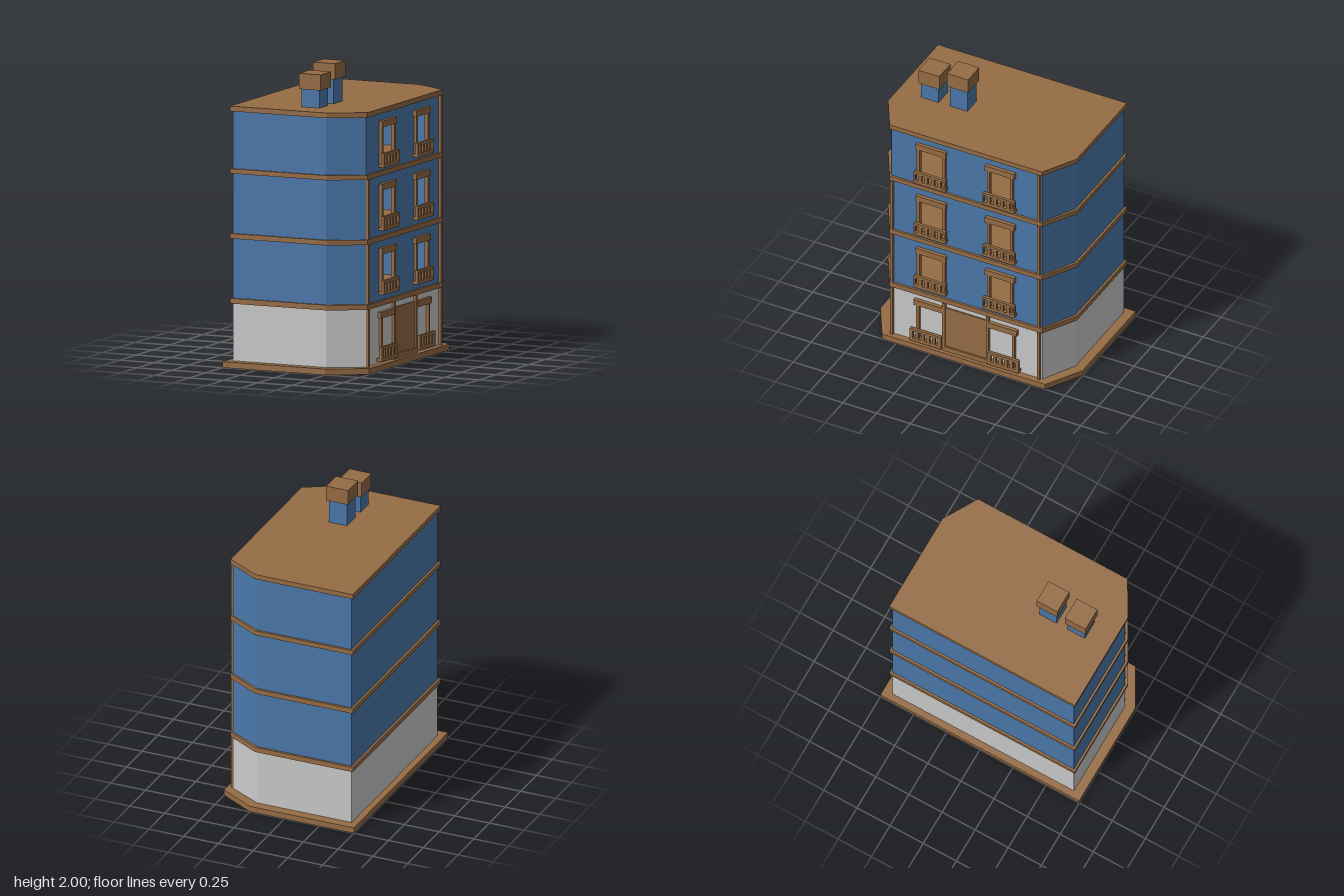
import * as THREE from 'three';

const brown = new THREE.MeshStandardMaterial({ name: 'brownTrim', color: 0x966c45 });
const blue = new THREE.MeshStandardMaterial({ name: 'bluePlaster', color: 0x4a78ab, side: THREE.DoubleSide });
const grey = new THREE.MeshStandardMaterial({ name: 'greyStone', color: 0xcacaca, side: THREE.DoubleSide });

function add(group, name, geometry, material) {
  const mesh = new THREE.Mesh(geometry, material);
  mesh.name = name;
  group.add(mesh);
  return mesh;
}

// Box given by its limits on each axis
function box(group, name, material, x0, x1, y0, y1, z0, z1) {
  const g = new THREE.BoxGeometry(x1 - x0, y1 - y0, z1 - z0);
  g.translate((x0 + x1) / 2, (y0 + y1) / 2, (z0 + z1) / 2);
  return add(group, name, g, material);
}

// Floor outline with the two cut corners on the +x side
const outline = (x, z, cx, cz) => [[x, cz], [cx, z], [-x, z], [-x, -z], [cx, -z], [x, -cz]];

function slab(group, name, pts, y0, y1) {
  const shape = new THREE.Shape(pts.map(p => new THREE.Vector2(p[0], p[1])));
  const g = new THREE.ExtrudeGeometry(shape, { depth: y1 - y0, bevelEnabled: false });
  g.rotateX(Math.PI / 2).translate(0, y1, 0);
  add(group, name, g, brown);
}

// Thin walls running along an open path
function walls(group, name, material, pts, y0, y1) {
  const pos = [];
  for (let i = 0; i + 1 < pts.length; i++) {
    const [ax, az] = pts[i], [bx, bz] = pts[i + 1];
    pos.push(ax, y0, az, bx, y1, bz, bx, y0, bz, ax, y0, az, ax, y1, az, bx, y1, bz);
  }
  const g = new THREE.BufferGeometry();
  g.setAttribute('position', new THREE.Float32BufferAttribute(pos, 3));
  g.computeVertexNormals();
  add(group, name, g, material);
}

const rect = (T, z0, z1, y0, y1) => new T([[-z1, y0], [-z0, y0], [-z0, y1], [-z1, y1]]
  .map(p => new THREE.Vector2(p[0], p[1])));

// Street wall with window openings, each [z0, z1, y0, y1]
function facade(group, material, y0, y1, openings) {
  const shape = rect(THREE.Shape, -0.56, 0.56, y0, y1);
  shape.holes = openings.map(o => rect(THREE.Path, ...o));
  const g = new THREE.ShapeGeometry(shape).rotateY(Math.PI / 2).translate(0.455, 0, 0);
  add(group, 'streetWall', g, material);
}

// Balustrade panel with a row of five slots
function balcony(group, z0, z1, y0, y1, pitch, width) {
  const shape = rect(THREE.Shape, z0, z1, y0, y1);
  for (let i = -2; i <= 2; i++) {
    const c = (z0 + z1) / 2 + i * pitch;
    shape.holes.push(rect(THREE.Path, c - width / 2, c + width / 2, y0 + 0.023, y1 - 0.019));
  }
  const g = new THREE.ExtrudeGeometry(shape, { depth: 0.02, bevelEnabled: false });
  add(group, 'balcony', g.rotateY(Math.PI / 2).translate(0.475, 0, 0), brown);
  // ends and floor joining the panel to the wall
  box(group, 'balconyFloor', brown, 0.455, 0.475, y0, y0 + 0.02, z0, z1);
}

export function createModel() {
  const model = new THREE.Group();
  model.name = 'townhouse';
  const wallPath = outline(0.455, 0.685, 0.225, 0.56);
  const slabPath = outline(0.47, 0.70, 0.235, 0.565);
  const levels = [[0, 0.04], [0.421, 0.456], [0.852, 0.886], [1.284, 1.316], [1.697, 1.731]];

  levels.forEach(([y0, y1], i) => slab(model, i === 0 ? 'base' : i === 4 ? 'roof' : 'floorBand',
    i ? slabPath : outline(0.5, 0.75, 0.25, 0.605), y0, y1));

  for (let f = 0; f < 4; f++) {
    const storey = new THREE.Group();
    storey.name = 'storey' + (f + 1);
    model.add(storey);
    const y0 = levels[f][1], y1 = levels[f + 1][0];
    const paint = f ? blue : grey;
    walls(storey, 'outerWalls', paint, wallPath, y0, y1);

    // Corner pilasters
    if (f < 3) box(storey, 'pilaster', brown, 0.45, 0.475, y0, y1, 0.54, 0.56);
    box(storey, 'pilaster', brown, 0.45, 0.475, y0, y1, -0.55, -0.53);

    if (f === 0) {
      facade(storey, paint, y0, y1, []);
      // Doorway with posts and threshold
      box(storey, 'door', brown, 0.45, 0.464, y0, 0.382, -0.16, 0.16);
      box(storey, 'threshold', brown, 0.45, 0.475, y0, 0.074, -0.17, 0.17);
      for (const s of [1, -1]) {
        const side = (name, x1, a, b, c, d) =>
          box(storey, name, brown, 0.45, x1, a, b, Math.min(s * c, s * d), Math.max(s * c, s * d));
        side('doorPost', 0.475, y0, y1, 0.152, 0.172);
        side('windowLintel', 0.48, 0.34, 0.382, 0.172, 0.383);
        side('windowJamb', 0.475, 0.06, 0.34, 0.344, 0.365);
        balcony(storey, s > 0 ? 0.172 : -0.403, s > 0 ? 0.403 : -0.172, 0.056, 0.154, 0.041, 0.021);
      }
    } else {
      const base = [0, 0.496, 0.922, 1.34][f];
      const windows = [[0.172, 0.34], [-0.33, -0.18]];
      facade(storey, paint, y0, y1, windows.map(([a, b]) => [a, b, base + 0.01, base + 0.266]));
      for (const [a, b] of windows) {
        const mid = (a + b) / 2;
        box(storey, 'windowLintel', brown, 0.45, 0.48, base + 0.266, base + 0.307, mid - 0.11, mid + 0.11);
        box(storey, 'windowJamb', brown, 0.45, 0.475, base + 0.01, base + 0.266, a - 0.021, a);
        box(storey, 'windowJamb', brown, 0.45, 0.475, base + 0.01, base + 0.266, b, b + 0.021);
        balcony(storey, mid - 0.118, mid + 0.118, base, base + 0.094, 0.048, 0.025);
      }
    }
  }

  // Chimneys: [centre z, cap bottom, cap top]
  for (const [z, y0, y1] of [[0.248, 1.895, 2], [0.461, 1.85, 1.955]]) {
    box(model, 'chimneyStack', blue, -0.03, 0.1, 1.731, y0, z - 0.065, z + 0.065);
    box(model, 'chimneyCap', brown, -0.043, 0.115, y0, y1, z - 0.078, z + 0.078);
  }
  return model;
}
